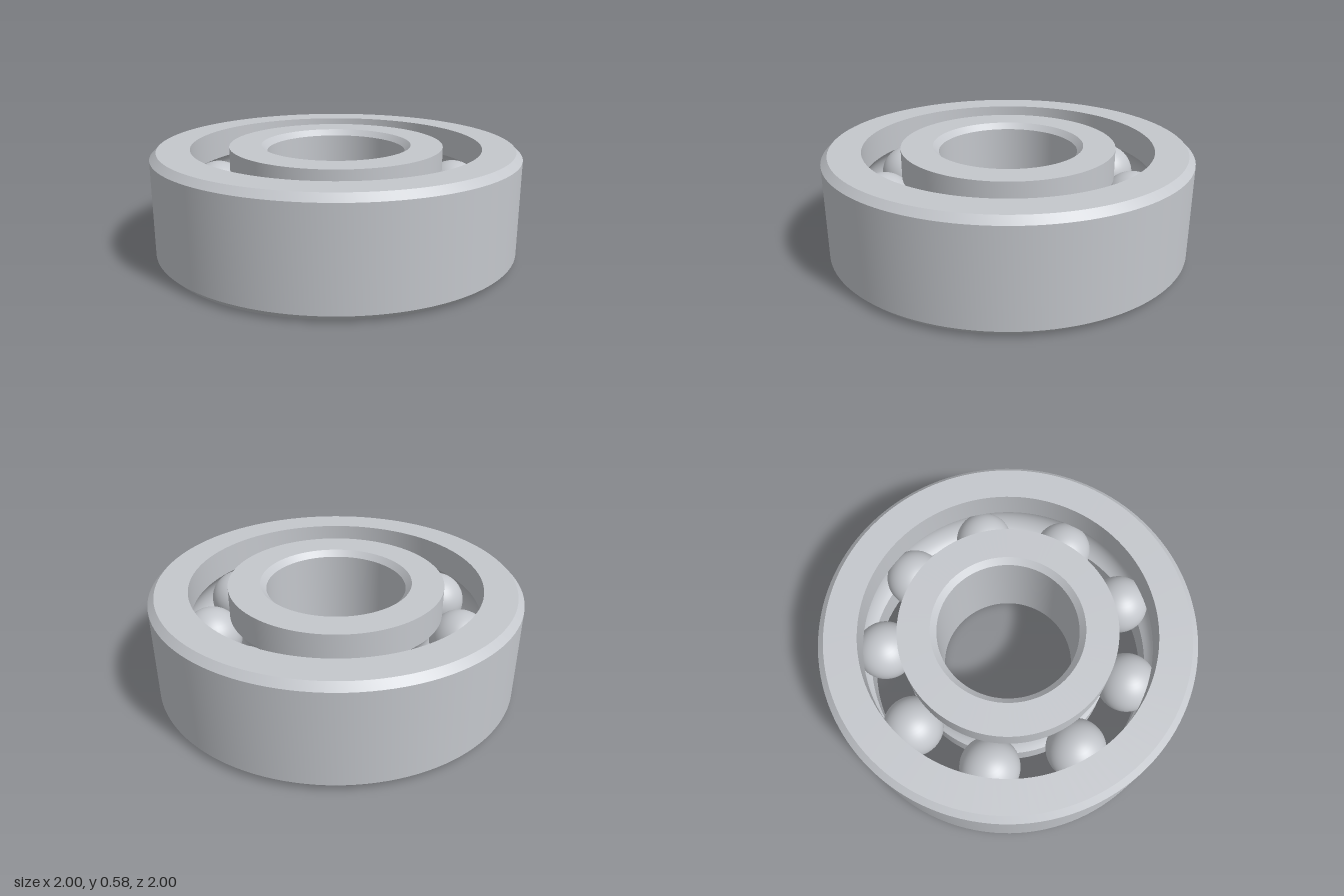
import * as THREE from 'three';
import { toCreasedNormals } from 'three/addons/utils/BufferGeometryUtils.js';

const HEIGHT = 0.585, MID = HEIGHT / 2, CHAMFER = 0.035;
const OUTER = 1, OUTER_LIP = 0.79, INNER_LIP = 0.583, BORE = 0.378, BORE_CHAMFER = 0.032;
const PITCH = 0.686, BALL_R = 0.163, GROOVE_R = 0.165, BALLS = 9;

// Arc of the ball track on one lip; side is +1 for the outer ring, -1 for the inner ring
function groove(lip, side) {
  const half = Math.acos(Math.abs(lip - PITCH) / GROOVE_R);
  const pts = [];
  for (let i = 0; i <= 14; i++) {
    const a = side * half * (1 - i / 7);
    pts.push([PITCH + side * GROOVE_R * Math.cos(a), MID + side * GROOVE_R * Math.sin(a) * side]);
  }
  return pts;
}

// Closed counter-clockwise profile spun around y, with crisp edges
function ring(name, profile, material) {
  const pts = [...profile, profile[0]].map(([r, y]) => new THREE.Vector2(r, y));
  const mesh = new THREE.Mesh(toCreasedNormals(new THREE.LatheGeometry(pts, 128), 0.5), material);
  mesh.name = name;
  return mesh;
}

export function createModel() {
  const group = new THREE.Group();
  group.name = 'ballBearing';
  const steel = new THREE.MeshStandardMaterial({ color: 0xc4c7cc });
  steel.name = 'steel';

  // Outer race: chamfered outside, track on the inside wall (running downwards)
  group.add(ring('outerRace', [
    [OUTER_LIP, 0], [OUTER - CHAMFER, 0], [OUTER, CHAMFER],
    [OUTER, HEIGHT - CHAMFER], [OUTER - CHAMFER, HEIGHT], [OUTER_LIP, HEIGHT],
    ...groove(OUTER_LIP, 1),
  ], steel));

  // Inner race: track on the outside wall (running upwards), chamfered bore
  group.add(ring('innerRace', [
    [BORE + BORE_CHAMFER, 0], [INNER_LIP, 0],
    ...groove(INNER_LIP, -1),
    [INNER_LIP, HEIGHT], [BORE + BORE_CHAMFER, HEIGHT],
    [BORE, HEIGHT - BORE_CHAMFER], [BORE, BORE_CHAMFER],
  ], steel));

  // Balls evenly spaced in the track
  const ballGeometry = new THREE.SphereGeometry(BALL_R, 40, 24);
  for (let i = 0; i < BALLS; i++) {
    const a = (i / BALLS) * Math.PI * 2;
    const ball = new THREE.Mesh(ballGeometry, steel);
    ball.name = `ball${i + 1}`;
    ball.position.set(PITCH * Math.cos(a), MID, PITCH * Math.sin(a));
    group.add(ball);
  }
  return group;
}
